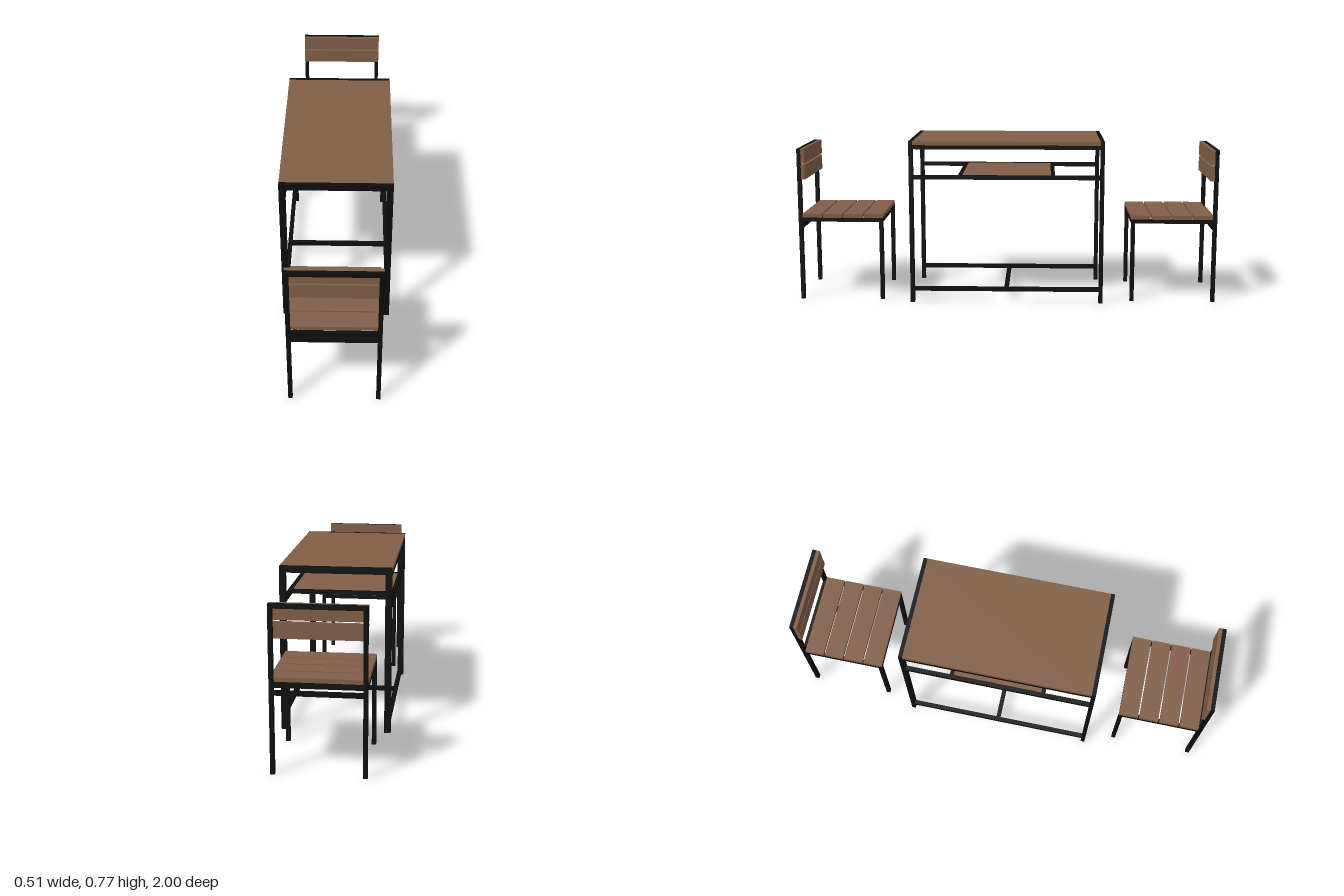
import * as THREE from 'three';

const wood = new THREE.MeshStandardMaterial({ color: 0x805e47 });
wood.name = 'brown wood';
const metal = new THREE.MeshStandardMaterial({ color: 0x0d0d0d });
metal.name = 'black metal';

// Box given by its minimum and maximum on each axis
function box(parent, name, material, [x0, x1], [y0, y1], [z0, z1]) {
  const mesh = new THREE.Mesh(new THREE.BoxGeometry(x1 - x0, y1 - y0, z1 - z0), material);
  mesh.position.set((x0 + x1) / 2, (y0 + y1) / 2, (z0 + z1) / 2);
  mesh.name = name;
  parent.add(mesh);
}

// Range between a and b, mirrored when s is -1
const side = (s, a, b) => (s > 0 ? [a, b] : [-b, -a]);

function createTable() {
  const table = new THREE.Group();
  table.name = 'table';
  box(table, 'tableTop', wood, [-0.255, 0.255], [0.757, 0.775], [-0.441, 0.441]);
  for (const s of [1, -1]) {
    // End frames
    const end = side(s, 0.441, 0.46);
    box(table, 'endTopBar', metal, [-0.255, 0.255], [0.745, 0.775], end);
    for (const t of [1, -1]) box(table, 'tableLeg', metal, side(t, 0.225, 0.255), [0, 0.745], end);
    // Long rails under the top, at the shelf and near the floor
    for (const [name, y] of [['topRail', 0.738], ['shelfRail', 0.595], ['floorRail', 0.056]]) {
      box(table, name, metal, side(s, 0.235, 0.255), [y, y + 0.019], [-0.441, 0.441]);
    }
    box(table, 'shelfCrossbar', metal, [-0.235, 0.235], [0.595, 0.614], side(s, 0.21, 0.229));
  }
  box(table, 'shelf', wood, [-0.235, 0.235], [0.597, 0.612], [-0.21, 0.21]);
  box(table, 'floorCrossbar', metal, [-0.235, 0.235], [0.056, 0.075], [-0.01, 0.01]);
  return table;
}

// Chair with its back toward +z (s = 1) or -z (s = -1)
function createChair(s) {
  const chair = new THREE.Group();
  chair.name = s > 0 ? 'frontChair' : 'backChair';
  const W = 0.204, T = 0.019;
  const inner = [-W + T, W - T];
  const front = side(s, 0.593, 0.593 + T), back = side(s, 1 - T, 1);
  for (const t of [1, -1]) {
    const x = side(t, W - T, W);
    box(chair, 'frontLeg', metal, x, [0, 0.4], front);
    box(chair, 'backLeg', metal, x, [0, 0.732], back);
    box(chair, 'seatSideRail', metal, x, [0.381, 0.4], side(s, 0.593 + T, 1 - T));
  }
  box(chair, 'seatFrontRail', metal, inner, [0.381, 0.4], front);
  box(chair, 'seatBackRail', metal, inner, [0.381, 0.4], back);
  box(chair, 'lowerBackBar', metal, inner, [0.347, 0.366], back);
  box(chair, 'backTopBar', metal, inner, [0.713, 0.732], back);
  // Seat slats with narrow gaps
  for (let i = 0; i < 4; i++) {
    const z = 0.593 + i * 0.0985;
    box(chair, 'seatSlat', wood, [-W, W], [0.4, 0.419], side(s, z, z + 0.0915));
  }
  // Backrest slats
  for (const y of [0.584, 0.662]) {
    box(chair, 'backSlat', wood, [-W, W], [y, y + 0.07], side(s, 0.964, 1 - T));
  }
  chair.position.x = 0.003;
  return chair;
}

export function createModel() {
  const model = new THREE.Group();
  model.name = 'tableWithTwoChairs';
  model.add(createTable(), createChair(1), createChair(-1));
  return model;
}
